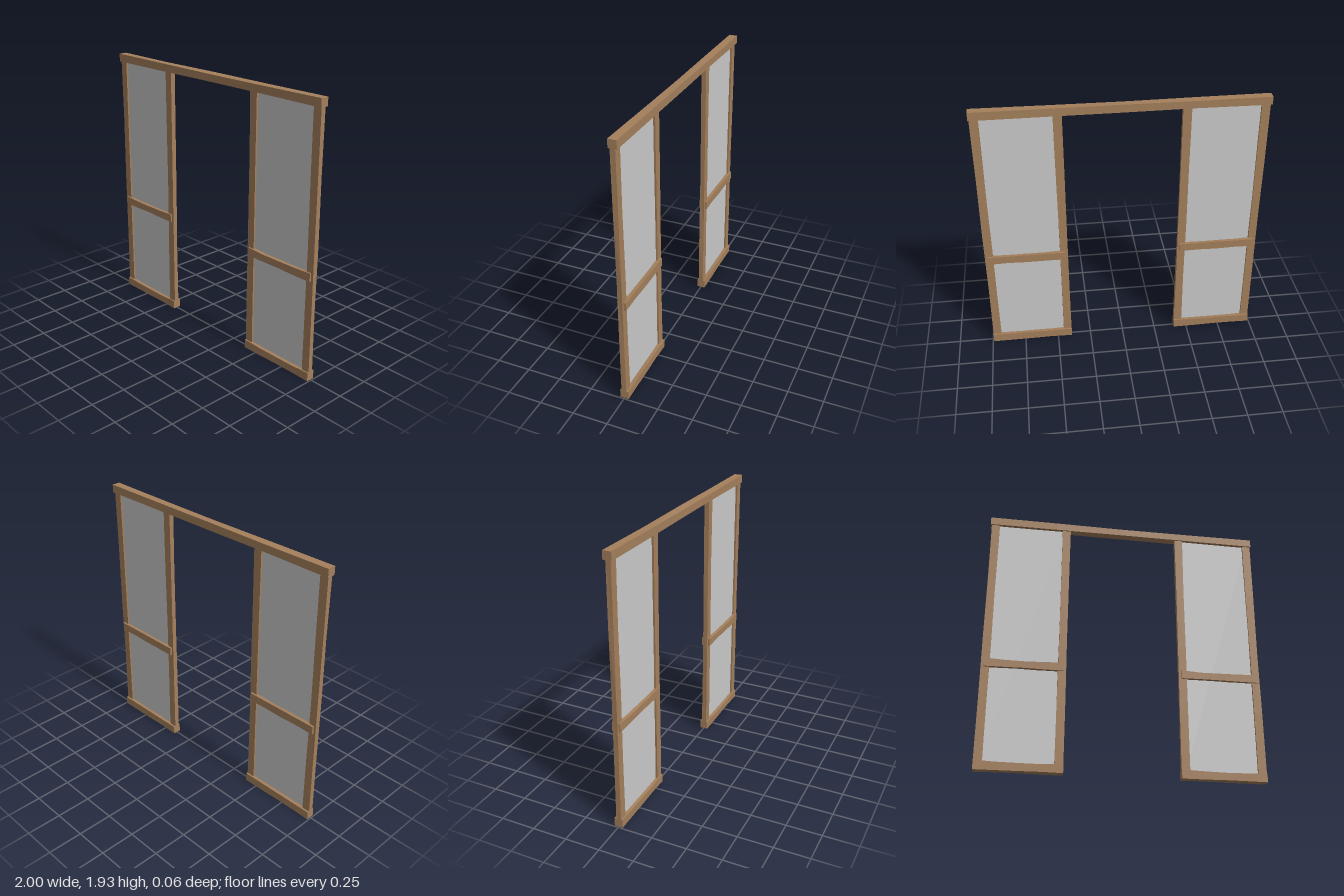
import * as THREE from 'three';

const wood = new THREE.MeshStandardMaterial({ color: 0xa5805c, flatShading: true });
const pane = new THREE.MeshStandardMaterial({ color: 0xcccccc, flatShading: true });

// Rough-hewn timber along x, with slightly uneven edges and a shallow dip on the front top edge
function timber(length, height, depth, seed, dip = 0) {
  const geo = new THREE.BoxGeometry(length, height, depth, 4, 1, 1);
  const p = geo.attributes.position;
  for (let i = 0; i < p.count; i++) {
    const x = p.getX(i), y = p.getY(i), z = p.getZ(i);
    const t = x / length;
    const corner = Math.sign(y) * 2 + Math.sign(z);
    const wobble = Math.sin(t * 9 + corner * 1.7 + seed);
    const inner = Math.abs(t) < 0.49 ? 1 : 0;
    const sag = y > 0 && z > 0 ? dip * inner : 0;
    p.setY(i, y - Math.sign(y) * 0.0015 * inner * (1 + wobble) - sag);
    p.setZ(i, z - Math.sign(z) * 0.001 * inner * (1 + wobble));
  }
  geo.computeVertexNormals();
  return geo;
}

function rail(name, x0, x1, y0, y1, seed, dip) {
  const mesh = new THREE.Mesh(timber(x1 - x0, y1 - y0, 0.06, seed, dip), wood);
  mesh.name = name;
  mesh.position.set((x0 + x1) / 2, (y0 + y1) / 2, 0);
  return mesh;
}

function post(name, x0, x1, seed) {
  const y0 = 0.02, y1 = 1.9;
  const geo = timber(y1 - y0, x1 - x0, 0.036, seed);
  geo.rotateZ(Math.PI / 2);
  const mesh = new THREE.Mesh(geo, wood);
  mesh.name = name;
  mesh.position.set((x0 + x1) / 2, (y0 + y1) / 2, 0.002);
  return mesh;
}

// One framed side screen: two posts, two rails and a thin pane
function sideScreen(name, x0, x1, seed) {
  const g = new THREE.Group();
  g.name = name;
  g.add(post('rightPost', x0, x0 + 0.06, seed));
  g.add(post('leftPost', x1 - 0.06, x1, seed + 2));
  g.add(rail('bottomRail', x0, x1, 0, 0.063, seed + 1, 0.006));
  g.add(rail('middleRail', x0 + 0.018, x1 - 0.02, 0.728, 0.789, seed + 3, 0.006));
  const sheet = new THREE.Mesh(new THREE.BoxGeometry(x1 - x0 - 0.06, 1.86, 0.008), pane);
  sheet.name = 'pane';
  sheet.position.set((x0 + x1) / 2, 0.965, 0.002);
  g.add(sheet);
  return g;
}

export function createModel() {
  const model = new THREE.Group();
  model.name = 'doorwayScreen';
  model.add(sideScreen('rightScreen', -0.992, -0.403, 0.4));
  model.add(sideScreen('leftScreen', 0.395, 0.992, 1.3));
  model.add(rail('topBeam', -1, 0.997, 1.872, 1.93, 2.2, 0.002));
  return model;
}
